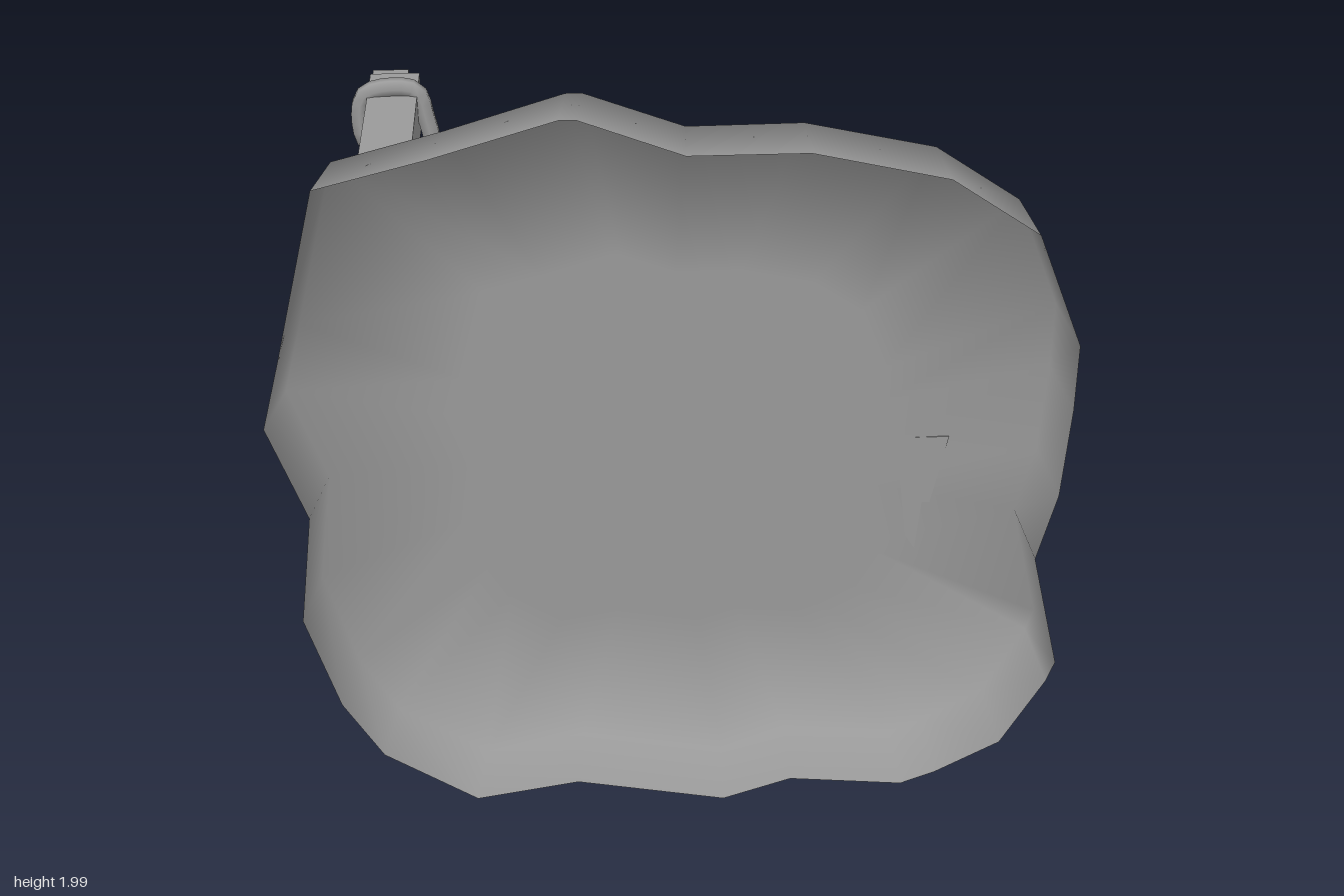
import * as THREE from 'three';

const grey = new THREE.MeshStandardMaterial({ color: 0x999999 });
const greyFlat = new THREE.MeshStandardMaterial({ color: 0x999999, flatShading: true });
const greyThin = new THREE.MeshStandardMaterial({ color: 0x999999, side: THREE.DoubleSide });

// Rectangular beam along local y; each section is [y, centreX, centreZ, width, depth]
function beam(name, sections) {
  const pos = [], index = [];
  for (const [y, cx, cz, w, d] of sections)
    for (const [sx, sz] of [[-1, -1], [-1, 1], [1, 1], [1, -1]])
      pos.push(cx + sx * w / 2, y, cz + sz * d / 2);
  const last = (sections.length - 1) * 4;
  for (let s = 0; s < last; s += 4)
    for (let i = 0; i < 4; i++) {
      const j = (i + 1) % 4;
      index.push(s + i, s + j, s + 4 + j, s + i, s + 4 + j, s + 4 + i);
    }
  index.push(0, 2, 1, 0, 3, 2, last, last + 1, last + 2, last, last + 2, last + 3);
  let geo = new THREE.BufferGeometry();
  geo.setAttribute('position', new THREE.Float32BufferAttribute(pos, 3));
  geo.setIndex(index);
  geo = geo.toNonIndexed();
  geo.computeVertexNormals();
  const mesh = new THREE.Mesh(geo, greyFlat);
  mesh.name = name;
  return mesh;
}

// Open-bottomed ground patch: skirt, rounded shoulder and nearly flat plateau
function ground() {
  const outline = [
    [-0.27, 2], [-0.57, 1.91], [-0.84, 1.84], [-0.95, 1.4], [-1, 1.21], [-0.91, 0.95],
    [-0.95, 0.64], [-0.87, 0.37], [-0.77, 0.2], [-0.53, 0.04], [-0.26, 0.085], [0.13, 0.01],
    [0.31, 0.07], [0.61, 0.04], [0.7, 0.075], [0.87, 0.17], [0.98, 0.37], [1, 0.43],
    [0.92, 0.76], [0.965, 0.95], [0.98, 1.2], [0.98, 1.38], [0.86, 1.68], [0.64, 1.83],
    [0.31, 1.905], [0.02, 1.905], [-0.23, 2],
  ];
  // Each ring: x scale, x shift, y scale, height, outward lean of the normal, backward lean
  const rings = [
    [1, 0, 1, () => 0.5, 1, 0.15],
    [0.975, 0.012, 0.988, (x, y) => 0.288 - 0.02 * x + 0.018 * (y - 1) ** 2, 1, 1],
    [0.55, 0, 0.55, (x) => 0.289 - 0.008 * x, 0, 1],
  ];
  const n = outline.length, pos = [], normals = [], index = [];
  const normal = new THREE.Vector3();
  for (const [kx, shift, ky, height, out, back] of rings)
    outline.forEach(([x, y], i) => {
      const [px, py] = outline[(i + n - 1) % n], [qx, qy] = outline[(i + 1) % n];
      const length = Math.hypot(qx - px, qy - py);
      normal.set(out * (qy - py) / length, out * (px - qx) / length, -back).normalize();
      pos.push(x * kx + shift, 1 + (y - 1) * ky, height(x, y));
      normals.push(normal.x, normal.y, normal.z);
    });
  pos.push(0, 1, 0.288);
  normals.push(0, 0, -1);
  for (let r = 0; r < rings.length; r++)
    for (let i = 0; i < n; i++) {
      const a = r * n + i, b = r * n + (i + 1) % n;
      if (r === rings.length - 1) index.push(a, rings.length * n, b);
      else index.push(a, a + n, b, b, a + n, b + n);
    }
  const geo = new THREE.BufferGeometry();
  geo.setAttribute('position', new THREE.Float32BufferAttribute(pos, 3));
  geo.setAttribute('normal', new THREE.Float32BufferAttribute(normals, 3));
  geo.setIndex(index);
  const mesh = new THREE.Mesh(geo, greyThin);
  mesh.name = 'ground';
  return mesh;
}

// Rope loop hugging a square post, drawn to a point towards the rope
function ropeLoop(x, y, z, angle) {
  const pts = [0.13, 0.088, 0.098, 0.084, 0.094, 0.084, 0.098, 0.088].map((r, i) =>
    new THREE.Vector3(Math.cos(i * Math.PI / 4) * r, Math.sin(i * Math.PI / 4) * r, 0));
  const curve = new THREE.CatmullRomCurve3(pts, true);
  const mesh = new THREE.Mesh(new THREE.TubeGeometry(curve, 24, 0.025, 6, true), grey);
  mesh.name = 'ropeLoop';
  mesh.position.set(x, y, z);
  mesh.rotation.z = angle;
  return mesh;
}

// Hand tool with a flared wedge head and a waisted handle, bent at the head
function axe(name, bend) {
  const tool = new THREE.Group();
  tool.name = name;
  const handle = beam('handle', [
    [-0.34, 0.01, 0.018, 0.08, 0.04], [-0.26, 0.01, 0.018, 0.07, 0.04],
    [-0.14, -0.005, 0.018, 0.045, 0.04], [0.01, 0, 0.018, 0.06, 0.04],
  ]);
  handle.rotation.z = bend;
  tool.add(beam('head', [[0, 0, 0.008, 0.1, 0.06], [0.2, 0, 0, 0.18, 0.076]]), handle);
  return tool;
}

export function createModel() {
  const model = new THREE.Group();
  model.add(ground());

  // Posts stand out towards the back
  const tallPost = beam('tallPost', [[-0.298, -0.7, 1.667, 0.13, 0.13], [0.43, -0.695, 1.68, 0.13, 0.135]]);
  const postCap = beam('postCap', [[0.43, -0.71, 1.68, 0.095, 0.1], [0.5, -0.71, 1.68, 0.095, 0.1]]);
  const shortPost = beam('shortPost', [[-0.277, 0.76, 0.31, 0.12, 0.13], [0.44, 0.797, 0.317, 0.13, 0.13]]);
  for (const post of [tallPost, postCap, shortPost]) {
    post.rotation.x = -Math.PI / 2;
    model.add(post);
  }

  // Rope strung between the posts
  const a = new THREE.Vector3(-0.7, 1.68, -0.295), b = new THREE.Vector3(0.79, 0.317, -0.3);
  const dir = b.clone().sub(a).normalize();
  const from = a.clone().addScaledVector(dir, 0.1), to = b.clone().addScaledVector(dir, -0.1);
  const rope = new THREE.Mesh(
    new THREE.TubeGeometry(new THREE.LineCurve3(from, to), 1, 0.022, 8), grey);
  rope.name = 'rope';
  const angle = Math.atan2(dir.y, dir.x);
  model.add(rope, ropeLoop(a.x, a.y, a.z, angle), ropeLoop(b.x, b.y, b.z, angle + Math.PI));

  // Tools lying on the ground
  const lowerAxe = axe('lowerAxe', 0);
  lowerAxe.position.set(0.63, 0.8, 0.241);
  const upperAxe = axe('upperAxe', -0.22);
  upperAxe.position.set(-0.35, 1.37, 0.249);
  upperAxe.rotation.z = -Math.PI / 2 - 0.06;
  upperAxe.scale.set(0.85, 0.85, 1);
  const knife = beam('knife', [
    [0, -0.01, 0.272, 0.03, 0.02], [0.09, -0.01, 0.24, 0.06, 0.04], [0.1, 0, 0.236, 0.085, 0.04],
    [0.32, 0, 0.23, 0.1, 0.035], [0.38, 0, 0.226, 0.045, 0.03],
    [0.52, 0, 0.232, 0.05, 0.045], [0.61, 0, 0.235, 0.085, 0.05], [0.67, 0, 0.237, 0.08, 0.05],
  ]);
  knife.position.set(0.22, 1.48, 0);
  knife.rotation.z = 1.187;
  model.add(lowerAxe, upperAxe, knife);
  return model;
}
